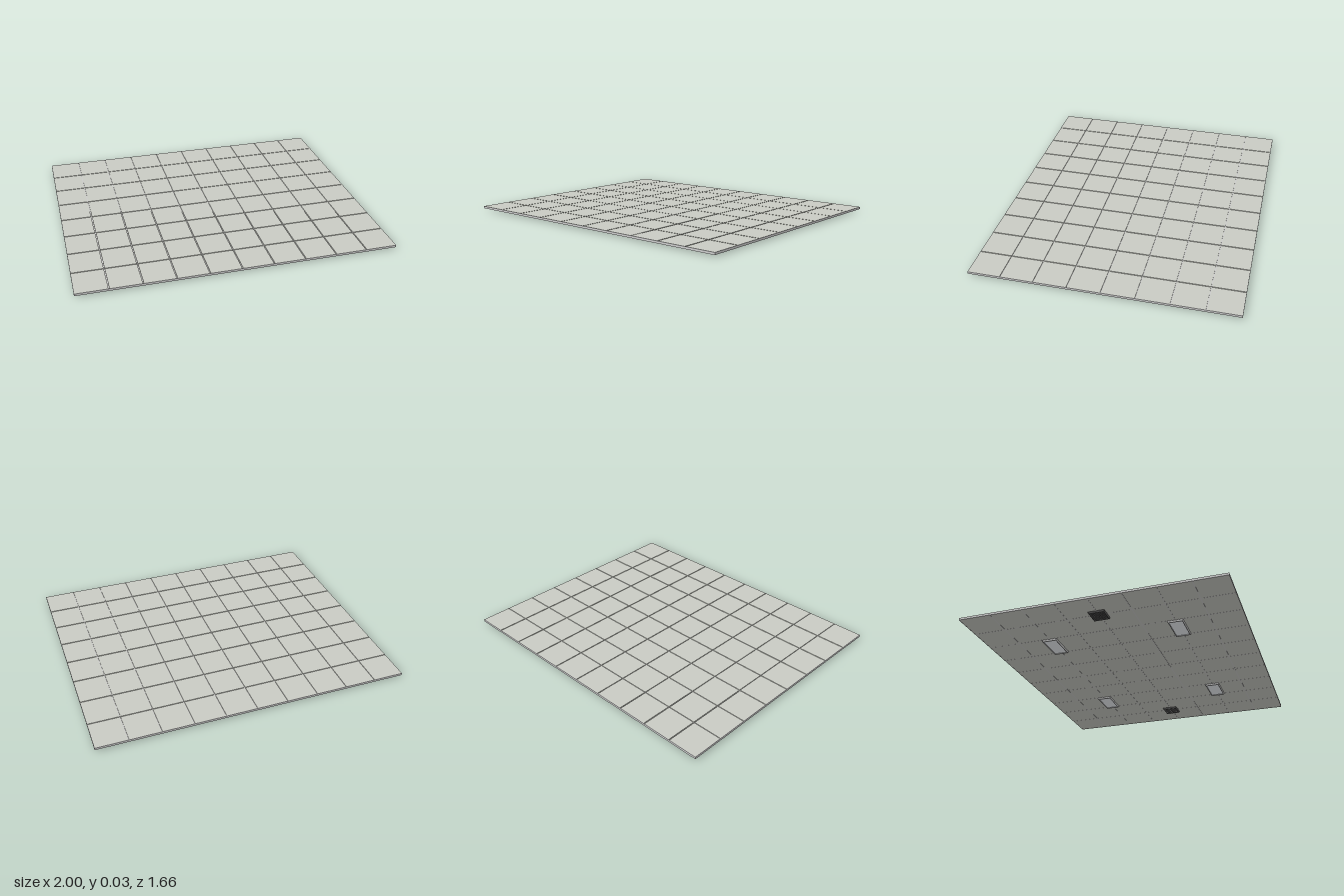
import * as THREE from 'three';

const W = 2, D = 1.66, COLS = 10, ROWS = 8;
const CW = W / COLS, CD = D / ROWS, GAP = 0.006;

const paint = (color) => new THREE.MeshStandardMaterial({ color });
const tileMat = paint(0xc9cbc3);
const barMat = paint(0xcccccc);
const lensMat = paint(0xf0f4f8);
const ventMat = paint(0x555555);

function box(name, parent, mat, w, h, d, x, y, z) {
  const mesh = new THREE.Mesh(new THREE.BoxGeometry(w, h, d), mat);
  mesh.name = name;
  mesh.position.set(x, y, z);
  parent.add(mesh);
  return mesh;
}

// Rectangular rim with an open middle, its lower outer edge bevelled inward
function rim(name, parent, mat, w, d, band, h) {
  const rect = (path, a, b) =>
    path.moveTo(-a, -b).lineTo(a, -b).lineTo(a, b).lineTo(-a, b).closePath();
  const shape = rect(new THREE.Shape(), w / 2, d / 2);
  shape.holes.push(rect(new THREE.Path(), w / 2 - band, d / 2 - band));
  const geo = new THREE.ExtrudeGeometry(shape, { depth: h, bevelEnabled: false });
  geo.rotateX(Math.PI / 2).translate(0, h, 0);
  const p = geo.attributes.position;
  for (let i = 0; i < p.count; i++) {
    const outer = Math.abs(p.getX(i)) > w / 2 - band / 2 || Math.abs(p.getZ(i)) > d / 2 - band / 2;
    if (p.getY(i) < h / 2 && outer) {
      p.setX(i, p.getX(i) * (1 - 0.008 / w));
      p.setZ(i, p.getZ(i) * (1 - 0.008 / d));
    }
  }
  geo.computeVertexNormals();
  const mesh = new THREE.Mesh(geo, mat);
  mesh.name = name;
  parent.add(mesh);
}

// Recessed light: bevelled rim around a flat lens
function lightPanel(x, z) {
  const g = new THREE.Group();
  g.name = 'lightPanel';
  rim('lightFrame', g, barMat, 0.2, 0.1, 0.008, 0.012);
  box('lightLens', g, lensMat, 0.186, 0.006, 0.086, 0, 0.008, 0);
  g.position.set(x, 0, z);
  return g;
}

// Square air vent: rim filled with crossing slats
function airVent(x, z) {
  const g = new THREE.Group();
  g.name = 'airVent';
  rim('ventFrame', g, ventMat, 0.105, 0.105, 0.008, 0.012);
  box('ventBack', g, paint(0x333333), 0.092, 0.002, 0.092, 0, 0.0105, 0);
  for (let i = -3; i <= 3; i++) {
    box('ventSlat', g, ventMat, 0.003, 0.008, 0.09, i * 0.0115, 0.006, 0);
    box('ventSlat', g, ventMat, 0.09, 0.007, 0.003, 0, 0.0065, i * 0.0115);
  }
  g.position.set(x, 0, z);
  return g;
}

export function createModel() {
  const model = new THREE.Group();
  model.name = 'suspendedCeiling';

  // Tiles
  const tiles = new THREE.Group();
  tiles.name = 'tiles';
  model.add(tiles);
  for (let c = 0; c < COLS; c++)
    for (let r = 0; r < ROWS; r++)
      box('tile', tiles, tileMat, CW - GAP, 0.0135, CD - GAP,
        (c + 0.5) * CW - W / 2, 0.01825, (r + 0.5) * CD - D / 2);

  // Support grid filling the joints and closing the border
  const grid = new THREE.Group();
  grid.name = 'supportGrid';
  model.add(grid);
  for (let c = 0; c <= COLS; c++) {
    const edge = c === 0 ? 1 : c === COLS ? -1 : 0;
    const w = edge ? GAP / 2 : GAP;
    box('crossRunner', grid, barMat, w, edge ? 0.0145 : 0.009, D,
      c * CW - W / 2 + edge * w / 2, edge ? 0.01775 : 0.0155, 0);
  }
  for (let r = 0; r <= ROWS; r++) {
    const edge = r === 0 ? 1 : r === ROWS ? -1 : 0;
    const d = edge ? GAP / 2 : GAP;
    box('mainRunner', grid, barMat, W, edge ? 0.0145 : 0.01, d,
      0, edge ? 0.01775 : 0.0155, r * CD - D / 2 + edge * d / 2);
  }

  // Fixtures on the underside
  for (const sx of [-1, 1]) {
    for (const sz of [-1, 1]) model.add(lightPanel(sx * 0.5, sz * 0.415));
    model.add(airVent(sx * 0.8, 0));
  }
  return model;
}
